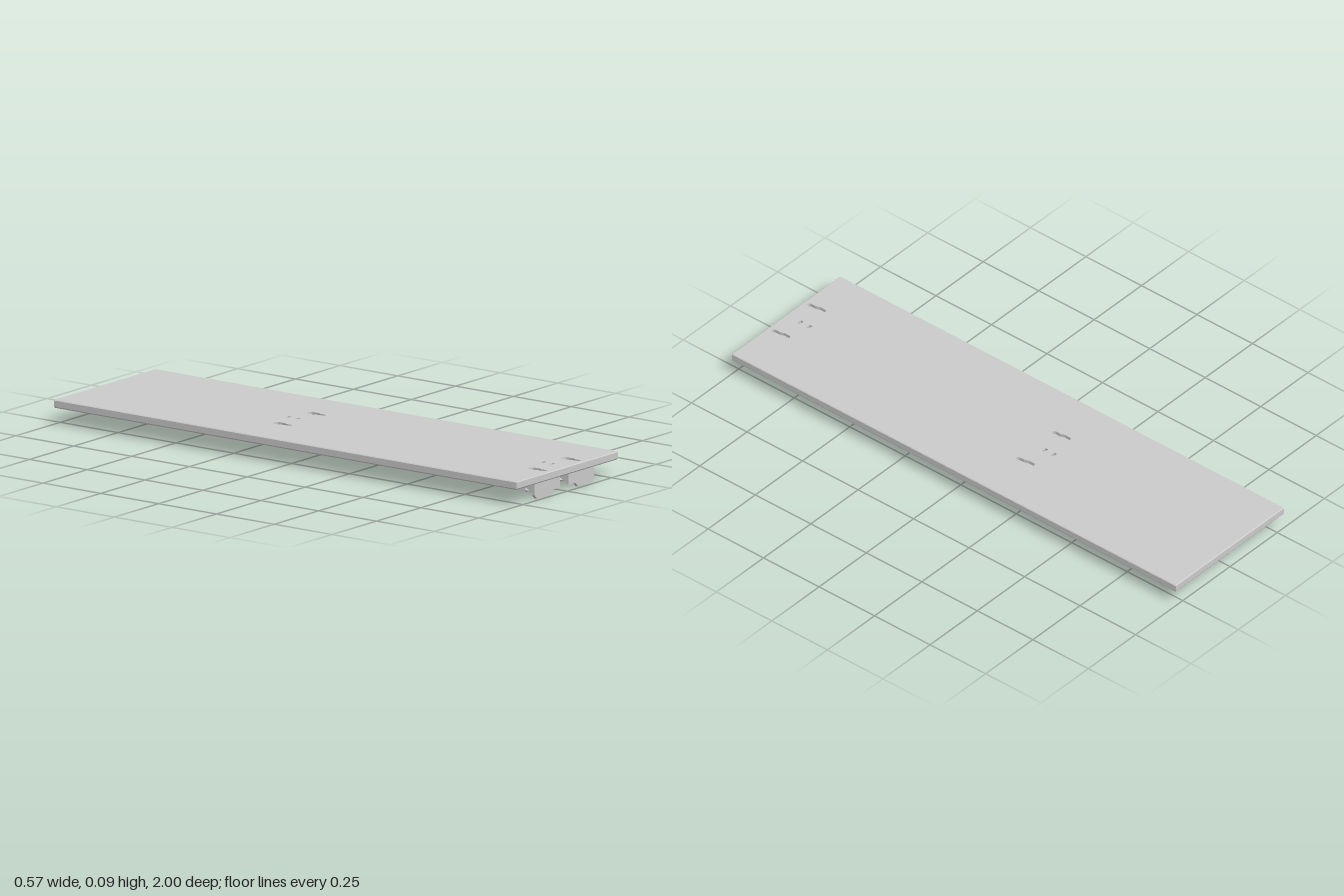
import * as THREE from 'three';

const HALF_W = 0.287, TOP = 0.087, MID = 0.075, BOTTOM = 0.058, BEVEL = 0.003;
const material = new THREE.MeshStandardMaterial({ color: 0xcccccc, flatShading: true });

function add(parent, name, geometry) {
  const mesh = new THREE.Mesh(geometry, material);
  mesh.name = name;
  parent.add(mesh);
  return mesh;
}

// Closed outline in plan from [x, z] points
function plan(points, Type = THREE.Path) {
  return new Type(points.map(([x, z]) => new THREE.Vector2(x, -z)));
}

function rect(x0, x1, z0, z1, Type) {
  return plan([[x0, z0], [x0, z1], [x1, z1], [x1, z0]], Type);
}

// Rectangle with rounded corners, centred on x
function roundedRect(w, z0, z1, r) {
  const points = [];
  [[w - r, z1 - r], [-w + r, z1 - r], [-w + r, z0 + r], [w - r, z0 + r]].forEach(([x, z], k) => {
    for (let i = 0; i <= 4; i++) {
      const a = (k + i / 4) * Math.PI / 2;
      points.push([x + r * Math.cos(a), z + r * Math.sin(a)]);
    }
  });
  return plan(points);
}

// Slot with a wide round head at the back and a narrow neck toward the front
function keyhole(x, z) {
  const points = [];
  for (let i = 0; i <= 6; i++) {
    const a = Math.PI + i * Math.PI / 6;
    points.push([x + 0.014 * Math.cos(a), z + 0.010 + 0.010 * Math.sin(a)]);
  }
  points.push([x + 0.014, z + 0.030], [x + 0.008, z + 0.048]);
  for (let i = 0; i <= 6; i++) {
    const a = i * Math.PI / 6;
    points.push([x + 0.008 * Math.cos(a), z + 0.067 + 0.008 * Math.sin(a)]);
  }
  points.push([x - 0.008, z + 0.048], [x - 0.014, z + 0.030]);
  return plan(points);
}

// One layer of the board, its outer edge eased at height easedY
function layer(holes, y0, y1, easedY) {
  const shape = rect(-HALF_W, HALF_W, -1, 1, THREE.Shape);
  shape.holes.push(...holes);
  const g = new THREE.ExtrudeGeometry(shape, { depth: y1 - y0, steps: 4, bevelEnabled: false });
  g.rotateX(-Math.PI / 2).translate(0, y0, 0);
  const p = g.attributes.position;
  for (let i = 0; i < p.count; i++) {
    if (Math.abs(p.getY(i) - easedY) > 1e-4) continue;
    const x = p.getX(i), z = p.getZ(i);
    if (Math.abs(x) > HALF_W - 0.002) p.setX(i, x - Math.sign(x) * BEVEL);
    if (Math.abs(z) > 0.998) p.setZ(i, z - Math.sign(z) * BEVEL);
  }
  g.computeVertexNormals();
  return g;
}

// U-shaped hook under the front edge, on the +x side
function hook() {
  const group = new THREE.Group();
  const outline = [[0.025, 0.059], [0.025, 0.016], [0.062, 0.016], [0.078, 0],
    [0.153, 0], [0.167, 0.014], [0.167, 0.059]];
  const plate = new THREE.Shape(outline.map(([x, y]) => new THREE.Vector2(x, y)));
  add(group, 'hookPlate', new THREE.ExtrudeGeometry(plate, { depth: 0.012, bevelEnabled: false }))
    .position.z = 0.975;
  for (const [x, out] of [[0.031, -1], [0.161, 1]]) {
    add(group, 'hookArm', new THREE.BoxGeometry(0.013, 0.036, 0.06)).position.set(x, 0.041, 0.95);
    const nub = add(group, 'hookNub', new THREE.CylinderGeometry(0.004, 0.007, 0.005, 4));
    nub.rotation.z = -out * Math.PI / 2;
    nub.scale.z = 2;
    nub.position.set(x + out * 0.0085, 0.029, 0.95);
  }
  return group;
}

export function createModel() {
  const model = new THREE.Group();
  model.name = 'shelfBoard';

  // Upper layer with two rows of mounting slots
  const slots = [];
  for (const z of [-0.195, 0.907]) {
    for (const x of [-0.095, 0.095]) slots.push(keyhole(x, z));
    for (const dz of [-0.017, 0.022]) slots.push(rect(-0.01, 0.01, z + dz, z + dz + 0.012));
  }
  add(model, 'topPanel', layer(slots, MID, TOP, TOP));

  // Lower layer with shallow pockets between solid ribs
  const pockets = [[-0.98, -0.23], [-0.09, 0.80], [0.825, 0.865]]
    .map(([z0, z1]) => roundedRect(0.268, z0, z1, 0.012));
  add(model, 'undersideFrame', layer(pockets, BOTTOM, MID, BOTTOM));

  // Mirrored pair of hooks
  for (const side of [1, -1]) {
    const h = hook();
    h.name = side > 0 ? 'leftHook' : 'rightHook';
    h.scale.x = side;
    model.add(h);
  }
  return model;
}
